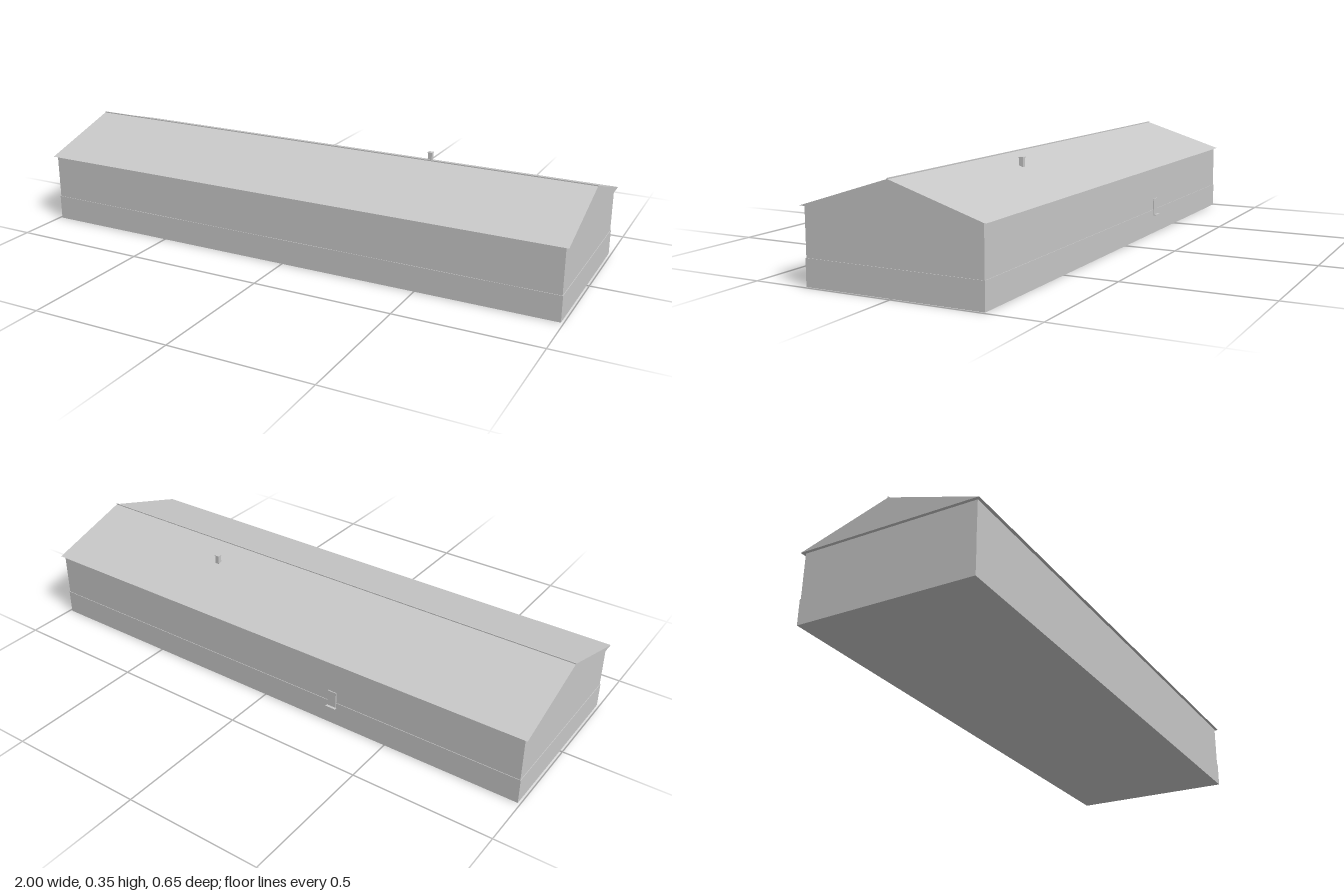
import * as THREE from 'three';

const grey = new THREE.MeshStandardMaterial({ color: 0xc8c8c8 });
grey.name = 'plain grey';

// Box given by its centre in x and z, its bottom and its size
function box(name, x, bottom, z, w, h, d) {
  const mesh = new THREE.Mesh(new THREE.BoxGeometry(w, h, d), grey);
  mesh.name = name;
  mesh.position.set(x, bottom + h / 2, z);
  return mesh;
}

export function createModel() {
  const building = new THREE.Group();
  building.name = 'longBuilding';

  // Walls: a slightly projecting plinth below the main walls
  building.add(box('plinth', 0, 0, 0, 1.982, 0.09, 0.626));
  building.add(box('walls', 0, 0.09, 0, 1.978, 0.162, 0.622));

  // Gabled roof, closed underneath, overhanging on all sides
  const gable = new THREE.Shape([
    new THREE.Vector2(-0.322, 0.251),
    new THREE.Vector2(0.322, 0.251),
    new THREE.Vector2(0, 0.352),
  ]);
  const roofGeometry = new THREE.ExtrudeGeometry(gable, { depth: 2, bevelEnabled: false });
  roofGeometry.translate(0, 0, -1).rotateY(Math.PI / 2);
  const roof = new THREE.Mesh(roofGeometry, grey);
  roof.name = 'roof';
  building.add(roof);

  // Ridge cap
  building.add(box('ridgeCap', 0, 0.349, 0, 2, 0.006, 0.004));

  // Chimney on the back slope
  const chimney = new THREE.Group();
  chimney.name = 'chimney';
  chimney.add(box('chimneyStack', 0.38, 0.31, -0.098, 0.015, 0.039, 0.015));
  chimney.add(box('chimneyCap', 0.38, 0.349, -0.098, 0.018, 0.003, 0.018));
  building.add(chimney);

  // Shallow window and its sill on the back wall
  const backWindow = new THREE.Group();
  backWindow.name = 'backWindow';
  backWindow.add(box('windowPanel', -0.287, 0.07, -0.3125, 0.034, 0.061, 0.004));
  backWindow.add(box('windowSill', -0.287, 0.068, -0.317, 0.038, 0.003, 0.014));
  building.add(backWindow);

  return building;
}
